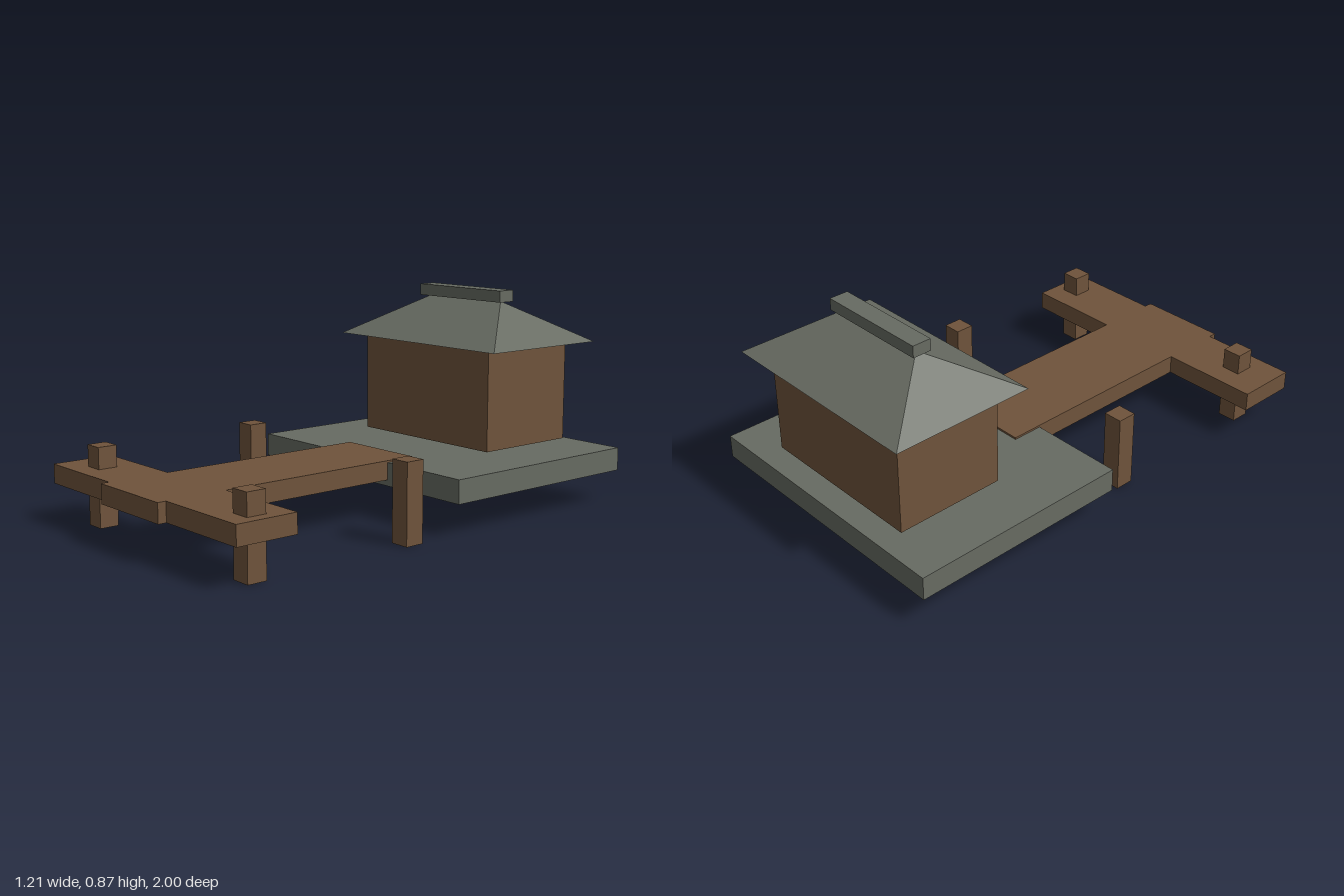
import * as THREE from 'three';

const wood = new THREE.MeshStandardMaterial({ color: 0x6f533b, side: THREE.DoubleSide });
wood.name = 'brown wood';
const stone = new THREE.MeshStandardMaterial({ color: 0x676b62, side: THREE.DoubleSide });
stone.name = 'grey stone';

// Box given by its limits on each axis, left open underneath
function openBox(name, material, [x0, x1], [y0, y1], [z0, z1]) {
  const geometry = new THREE.BoxGeometry(x1 - x0, y1 - y0, z1 - z0);
  const index = Array.from(geometry.index.array);
  index.splice(18, 6); // bottom face
  geometry.setIndex(index);
  geometry.clearGroups();
  const mesh = new THREE.Mesh(geometry, material);
  mesh.name = name;
  mesh.position.set((x0 + x1) / 2, (y0 + y1) / 2, (z0 + z1) / 2);
  return mesh;
}

// Hipped roof shell: eave rectangle rising to a ridge line, open underneath
function hipRoof(halfX, halfZ, halfRidge, height) {
  const a = [-halfX, 0, halfZ], b = [halfX, 0, halfZ];
  const c = [halfX, 0, -halfZ], d = [-halfX, 0, -halfZ];
  const l = [-halfRidge, height, 0], r = [halfRidge, height, 0];
  const corners = [
    a, b, r, a, r, l, // front slope
    c, d, l, c, l, r, // back slope
    b, c, r, // left hip
    d, a, l, // right hip
  ];
  const geometry = new THREE.BufferGeometry();
  geometry.setAttribute('position', new THREE.Float32BufferAttribute(corners.flat(), 3));
  geometry.computeVertexNormals();
  return geometry;
}

export function createModel() {
  const model = new THREE.Group();
  model.name = 'lakeHouseWithDock';

  // House on its platform
  model.add(openBox('platform', stone, [-0.592, 0.589], [0.13, 0.225], [-1, -0.07]));
  model.add(openBox('houseWalls', wood, [-0.366, 0.364], [0.243, 0.659], [-0.91, -0.45]));
  const roof = new THREE.Mesh(hipRoof(0.458, 0.3, 0.205, 0.168), stone);
  roof.name = 'roof';
  roof.position.set(-0.001, 0.658, -0.683);
  model.add(roof);
  model.add(openBox('roofRidge', stone, [-0.239, 0.237], [0.825, 0.873], [-0.722, -0.643]));

  // T-shaped dock
  model.add(openBox('walkway', wood, [-0.192, 0.19], [0.155, 0.233], [-0.2, 1]));
  model.add(openBox('crossDeck', wood, [-0.608, 0.605], [0.155, 0.233], [0.711, 0.966]));

  // Mooring posts
  for (const x of [-0.439, 0.517]) {
    for (const z of [0.125, 0.847]) {
      model.add(openBox('post', wood, [x - 0.04, x + 0.04], [0, 0.32], [z - 0.04, z + 0.04]));
    }
  }
  return model;
}
